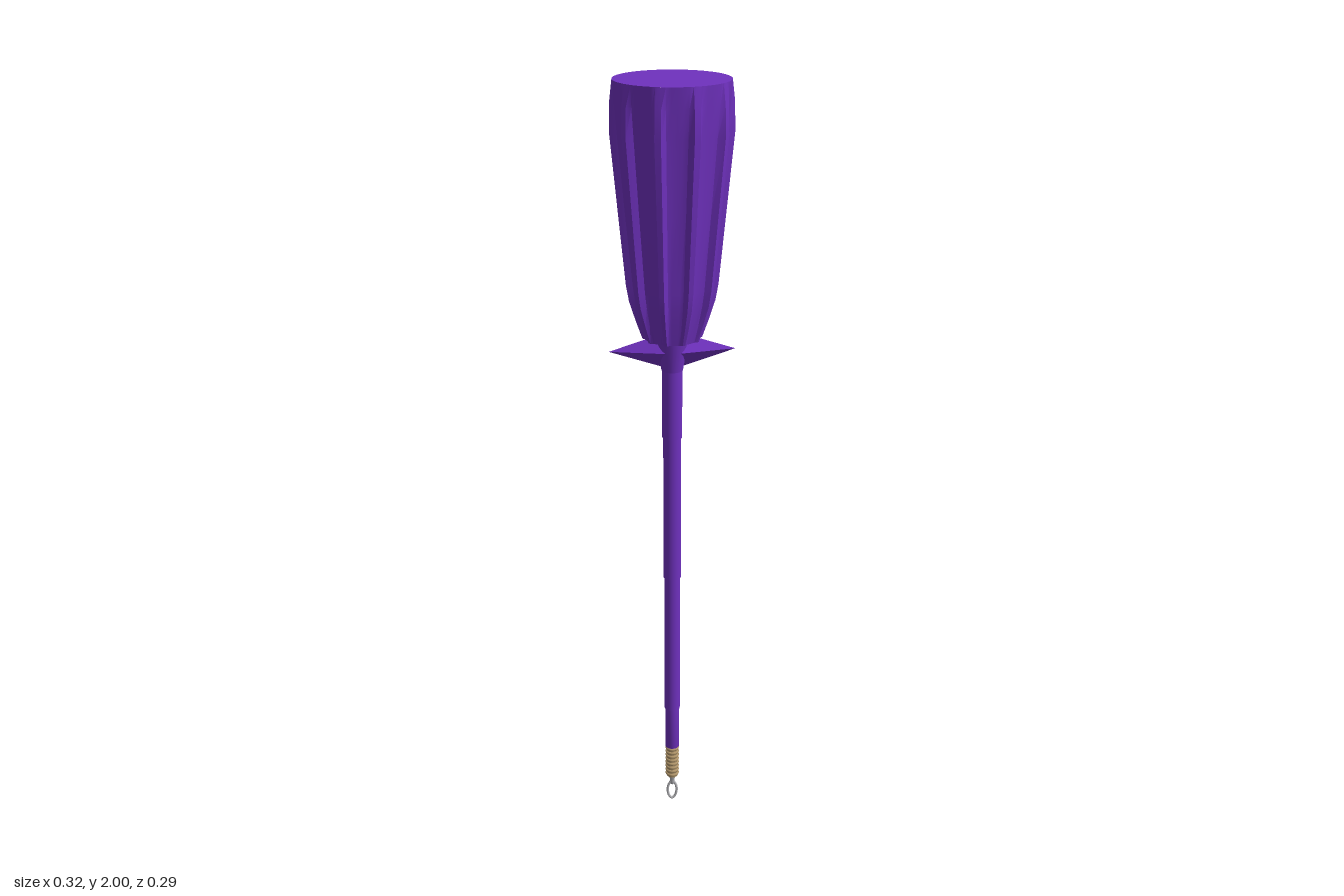
import * as THREE from 'three';
import { toCreasedNormals } from 'three/addons/utils/BufferGeometryUtils.js';

const material = (name, color, extra = {}) => new THREE.MeshStandardMaterial({ name, color, ...extra });
const lathe = (profile, sides) => new THREE.LatheGeometry(profile.map(p => new THREE.Vector2(...p)), sides);

export function createModel() {
  const purple = material('purple', 0x6f31be);
  const purpleFlat = material('purple', 0x6f31be, { flatShading: true });
  const brass = material('brass', 0xb0956a);
  const steel = material('steel', 0xb4b4b8);

  const model = new THREE.Group();
  model.name = 'flutedTool';
  const add = (name, geometry, mat, parent = model) => {
    const mesh = new THREE.Mesh(geometry, mat);
    mesh.name = name;
    parent.add(mesh);
    return mesh;
  };

  // Handle: ten narrow ribs with broad flutes between them
  const handle = new THREE.Group();
  handle.name = 'handle';
  model.add(handle);
  add('flutedGrip', flutedGrip(), purple, handle);
  const cap = add('endCap', new THREE.CircleGeometry(0.14, 80), purple, handle);
  cap.rotation.x = -Math.PI / 2;
  cap.position.y = 2;

  // Collar under the handle with two pointed wings
  const guard = new THREE.Group();
  guard.name = 'guard';
  model.add(guard);
  add('collar', new THREE.CylinderGeometry(0.042, 0.027, 0.088, 24), purple, guard).position.y = 1.334;
  for (const side of [-1, 1]) {
    const wing = add('wing', new THREE.ConeGeometry(1, 0.146, 4), purpleFlat, guard);
    wing.scale.set(0.047, 1, 0.032);
    wing.rotation.z = -side * Math.PI / 2;
    wing.position.set(side * 0.085, 1.342, 0);
  }

  // Shaft in steps, each slightly thinner towards the tip
  const shaft = new THREE.Group();
  shaft.name = 'shaft';
  model.add(shaft);
  add('upperShaft', lathe([[0.0255, 1.11], [0.0255, 1.3]], 24), purple, shaft);
  add('middleShaft', lathe([[0.023, 0.71], [0.023, 1.11], [0.0255, 1.11]], 24), purple, shaft);
  add('lowerShaft', lathe([[0, 0.18], [0.019, 0.18], [0.019, 0.305], [0.021, 0.305], [0.021, 0.71], [0.023, 0.71]], 24),
    purple, shaft);

  // Threaded end: core with a stack of rounded ridges
  const threads = new THREE.Group();
  threads.name = 'threadedEnd';
  model.add(threads);
  add('core', new THREE.CylinderGeometry(0.0155, 0.0155, 0.1, 20), brass, threads).position.y = 0.132;
  for (let i = 0; i < 8; i++) {
    const ridge = add('ridge', new THREE.TorusGeometry(0.0145, 0.0045, 8, 24), brass, threads);
    ridge.rotation.x = Math.PI / 2;
    ridge.position.y = 0.09 + i * 0.012;
  }

  // Tip: waisted neck ending in a slim open loop
  add('tipNeck', lathe([[0, 0.048], [0.005, 0.052], [0.0065, 0.062], [0.007, 0.07], [0.011, 0.079], [0.011, 0.086], [0, 0.088]], 16),
    steel);
  const loop = [[0, 0.0035], [0.008, 0.011], [0.0125, 0.03], [0.010, 0.048], [0, 0.062],
    [-0.010, 0.048], [-0.0125, 0.03], [-0.008, 0.011]];
  const loopCurve = new THREE.CatmullRomCurve3(loop.map(([x, y]) => new THREE.Vector3(x, y, 0)), true);
  add('tipLoop', new THREE.TubeGeometry(loopCurve, 40, 0.0035, 8, true), steel);

  return model;
}

// Lofts rings of [height, flute radius, rib radius] and closes the bottom
function flutedGrip() {
  const rings = [
    [1.375, 0.068, 0.074], [1.42, 0.078, 0.09], [1.47, 0.088, 0.106], [1.51, 0.094, 0.113],
    [1.7, 0.112, 0.131], [1.88, 0.128, 0.148], [1.95, 0.136, 0.146], [2, 0.14, 0.14],
  ];
  const offsets = [[-18, 0], [-12, 0.03], [-7, 0.2], [-3, 1], [0, 1], [3, 1], [7, 0.2], [12, 0.03]];
  const n = 10 * offsets.length, pos = [], index = [];
  for (const [y, flute, rib] of rings) {
    for (let k = 0; k < 10; k++) {
      for (const [deg, lift] of offsets) {
        const a = THREE.MathUtils.degToRad(k * 36 + deg);
        const r = flute + (rib - flute) * lift;
        pos.push(r * Math.cos(a), y, r * Math.sin(a));
      }
    }
  }
  for (let j = 0; j < rings.length - 1; j++) {
    for (let i = 0; i < n; i++) {
      const a = j * n + i, b = j * n + (i + 1) % n;
      index.push(a, a + n, b, b, a + n, b + n);
    }
  }
  const center = pos.length / 3;
  pos.push(0, rings[0][0], 0);
  for (let i = 0; i < n; i++) index.push(center, i, (i + 1) % n);
  const g = new THREE.BufferGeometry();
  g.setAttribute('position', new THREE.Float32BufferAttribute(pos, 3));
  g.setIndex(index);
  return toCreasedNormals(g, 0.6);
}
